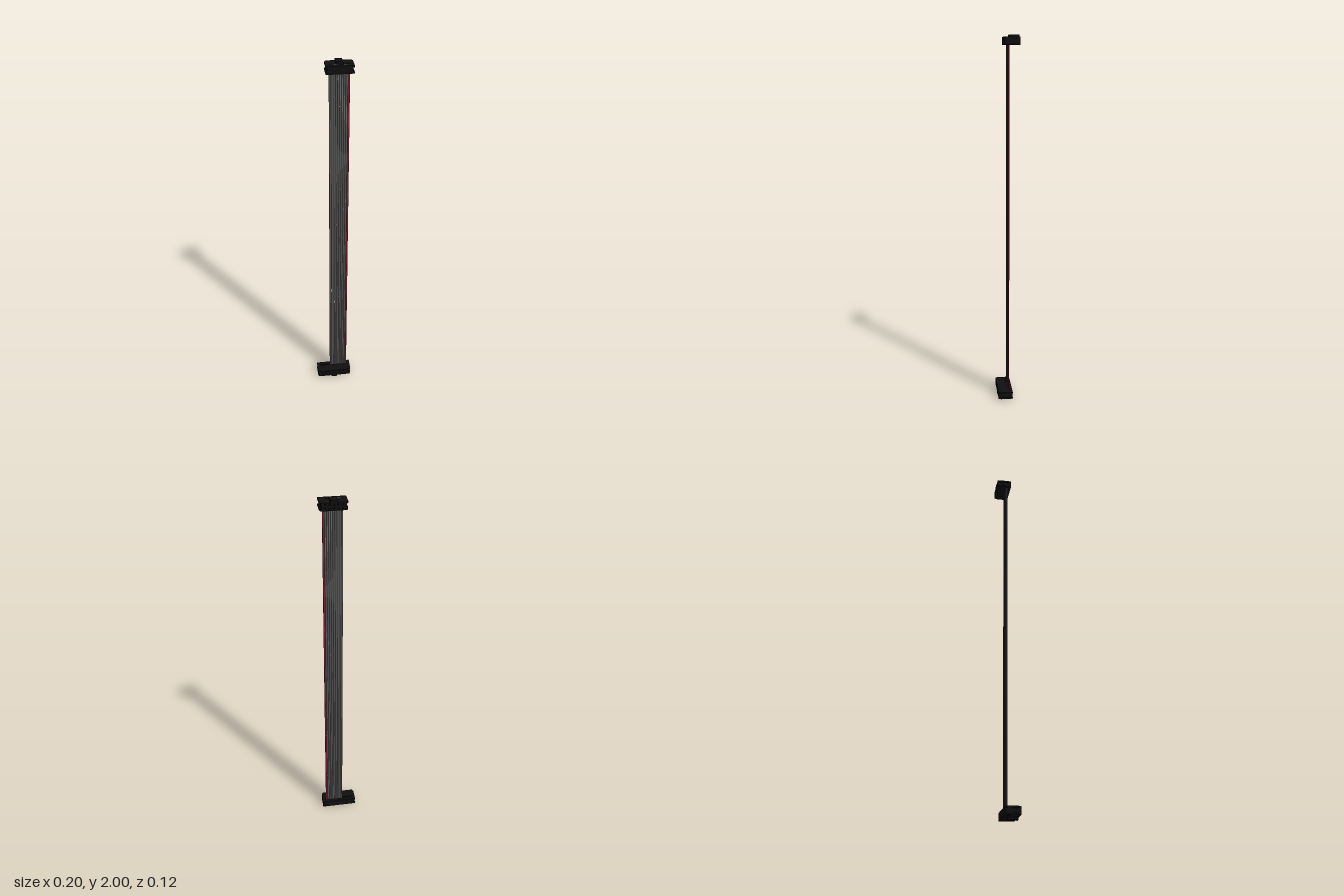
import * as THREE from 'three';

const PITCH = 0.0102, HALF_H = 0.02, FRONT = 0.0575, SPLIT = 0.014, BACK = -0.022;
const LIP = 0.009, NOTCH = 0.008;

const paint = (color) => new THREE.MeshStandardMaterial({ color });
const black = paint(0x101010), grey = paint(0x6a6a6a), red = paint(0x8c2a42);

function add(parent, name, geometry, material, x = 0, y = 0, z = 0) {
  const mesh = new THREE.Mesh(geometry, material);
  mesh.name = name;
  mesh.position.set(x, y, z);
  parent.add(mesh);
  return mesh;
}

const polygon = (points) => new THREE.Shape(points.map(([x, y]) => new THREE.Vector2(x, y)));

// Clamping section drawn in plan (shape y = -z), with a scalloped slot for the wires
function clampLayer(halfW, height, wires) {
  const shape = polygon([[-halfW, -SPLIT], [halfW, -SPLIT], [halfW, -BACK], [-halfW, -BACK]]);
  const slot = new THREE.Path();
  const end = wires * PITCH / 2;
  slot.moveTo(-end, -0.004);
  slot.lineTo(end, -0.004);
  for (let i = wires - 1; i >= 0; i--) {
    const cx = (i - (wires - 1) / 2) * PITCH;
    slot.absellipse(cx, 0, PITCH / 2, 0.0045, 0, Math.PI, false);
  }
  slot.closePath();
  shape.holes.push(slot);
  const g = new THREE.ExtrudeGeometry(shape, { depth: height, bevelEnabled: false, curveSegments: 6 });
  return g.rotateX(-Math.PI / 2);
}

// Mating block: notched ends, two rows of square pin sockets, chamfered lips
function socketBlock(halfW, wires) {
  const n = halfW - NOTCH, m = HALF_H - LIP;
  const shape = polygon([
    [-halfW, -HALF_H], [halfW, -HALF_H], [halfW, -m], [n, -m], [n, m], [halfW, m],
    [halfW, HALF_H], [-halfW, HALF_H], [-halfW, m], [-n, m], [-n, -m], [-halfW, -m],
  ]);
  const s = 0.0035;
  for (let i = 0; i < wires / 2; i++) {
    const x = (i - (wires / 2 - 1) / 2) * PITCH * 2;
    for (const y of [-PITCH, PITCH]) {
      shape.holes.push(polygon([[x - s, y - s], [x - s, y + s], [x + s, y + s], [x + s, y - s]]));
    }
  }
  const depth = FRONT - SPLIT;
  const g = new THREE.ExtrudeGeometry(shape, { depth, steps: 3, bevelEnabled: false });
  const p = g.attributes.position;
  for (let i = 0; i < p.count; i++) {
    const x = p.getX(i);
    if (p.getZ(i) > depth - 0.001 && Math.abs(x) > halfW - 0.001) p.setX(i, x - Math.sign(x) * 0.006);
  }
  g.computeVertexNormals();
  return g.translate(0, 0, SPLIT);
}

function connector(name, wires, halfW) {
  const group = new THREE.Group();
  group.name = name;
  add(group, 'socketBlock', socketBlock(halfW, wires), black);
  add(group, 'clampLowerLip', clampLayer(halfW, LIP, wires), black, 0, -HALF_H);
  add(group, 'clampCore', clampLayer(halfW - 0.006, 2 * (HALF_H - LIP), wires), black, 0, LIP - HALF_H);
  add(group, 'clampUpperLip', clampLayer(halfW, LIP, wires), black, 0, HALF_H - LIP);
  // Polarising key on the outer side
  add(group, 'key', new THREE.BoxGeometry(0.034, 0.01, FRONT - 0.004), black,
    0, -HALF_H - 0.0045, (FRONT + 0.004) / 2);
  return group;
}

export function createModel() {
  const model = new THREE.Group();
  model.name = 'ribbonCable';
  const cableX = 0.0292, wires = 10;

  const lower = connector('lowerConnector', 16, 0.0995);
  lower.position.y = 0.0295;
  model.add(lower);

  const upper = connector('upperConnector', wires, 0.0685);
  upper.rotation.x = Math.PI;
  upper.position.set(0.0305, 2 - 0.0295, 0);
  model.add(upper);

  // Flat row of touching wires, the last one marked red
  const cable = new THREE.Group();
  cable.name = 'cable';
  const wire = new THREE.CylinderGeometry(PITCH / 2, PITCH / 2, 1.978, 14).scale(1, 1, 0.78);
  for (let i = 0; i < wires; i++) {
    const last = i === wires - 1;
    add(cable, last ? 'markedWire' : 'wire', wire, last ? red : grey,
      cableX + (i - (wires - 1) / 2) * PITCH, 1, 0);
  }
  model.add(cable);
  return model;
}
